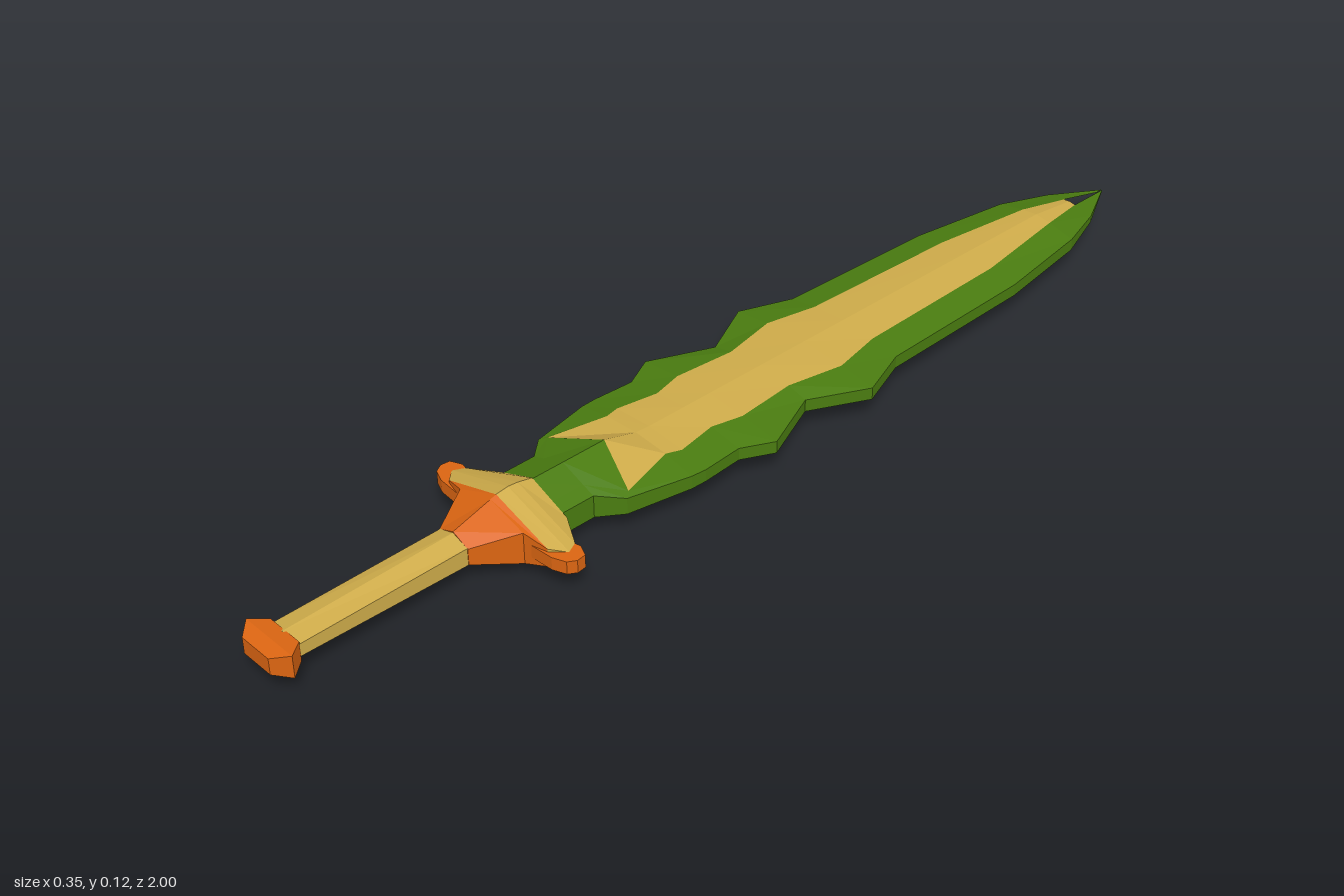
import * as THREE from 'three';

const CY = 0.063; // height of the sword's long axis

const flat = (name, color) => {
  const m = new THREE.MeshStandardMaterial({ color, flatShading: true });
  m.name = name;
  return m;
};

// Skin a list of closed rings (each counter-clockwise seen from +z, z rising).
// paint(row, column) gives the material index, or -1 for an opening.
function loft(name, rings, mats, paint, capFirst = -1, capLast = -1) {
  const faces = mats.map(() => []);
  const tri = (k, ...pts) => k >= 0 && pts.forEach(p => faces[k].push(p[0], p[1] + CY, p[2]));
  const n = rings[0].length;
  for (let i = 0; i < rings.length - 1; i++) {
    for (let j = 0; j < n; j++) {
      const a = rings[i][j], b = rings[i][(j + 1) % n];
      const c = rings[i + 1][(j + 1) % n], d = rings[i + 1][j];
      const k = paint(i, j);
      tri(k, a, b, c);
      tri(k, a, c, d);
    }
  }
  const first = rings[0], last = rings[rings.length - 1];
  for (let j = 1; j < n - 1; j++) {
    tri(capFirst, first[0], first[j + 1], first[j]);
    tri(capLast, last[0], last[j], last[j + 1]);
  }
  const geo = new THREE.BufferGeometry();
  geo.setAttribute('position', new THREE.Float32BufferAttribute(faces.flat(), 3));
  let start = 0;
  faces.forEach((f, k) => {
    if (f.length) geo.addGroup(start, f.length / 3, k);
    start += f.length / 3;
  });
  geo.computeVertexNormals();
  const mesh = new THREE.Mesh(geo, mats);
  mesh.name = name;
  return mesh;
}

// Hexagon with upright sides: half width w, side half height e, ridge half height h
const hex = ([z, w, e, h]) => [
  [w, -e, z], [w, e, z], [0, h, z], [-w, e, z], [-w, -e, z], [0, -h, z],
];
const box = ([z, w, h]) => [[w, -h, z], [w, h, z], [-w, h, z], [-w, -h, z]];

// Blade ring: outer edge, border of the inlay, and central ridge
const bladeRing = ([z, w, e, b, hb, hc, zb = z, zc = z]) => [
  [w, -e, z], [w, e, z], [b, hb, zb], [0, hc, zc], [-b, hb, zb],
  [-w, e, z], [-w, -e, z], [-b, -hb, zb], [0, -hc, zc], [b, -hb, zb],
];

export function createModel() {
  const group = new THREE.Group();
  const green = flat('green', 0x4a7c10);
  const gold = flat('gold', 0xcfac4a);
  const orange = flat('orange', 0xdb6512);
  const dark = flat('dark', 0x0c0c14);

  // Wavy blade: z, edge width, edge height, inlay width, inlay height, ridge height
  const bladeRows = [
    [-1.0, 0.001, 0.001, 0.0005, 0.001, 0.001, -0.985, -0.985],
    [-0.9, 0.055, 0.007, 0.014, 0.014, 0.016],
    [-0.8, 0.09, 0.012, 0.034, 0.024, 0.028],
    [-0.6, 0.12, 0.012, 0.062, 0.022, 0.028],
    [-0.27, 0.13, 0.012, 0.072, 0.022, 0.028],
    [-0.17, 0.168, 0.012, 0.093, 0.022, 0.028],
    [-0.06, 0.113, 0.012, 0.072, 0.022, 0.028],
    [0.06, 0.165, 0.012, 0.082, 0.022, 0.028],
    [0.12, 0.135, 0.012, 0.068, 0.022, 0.028],
    [0.2, 0.14, 0.012, 0.082, 0.022, 0.028],
    [0.23, 0.138, 0.013, 0.074, 0.025, 0.03],
    [0.35, 0.112, 0.016, 0.102, 0.02, 0.05, 0.338, 0.3],
    [0.39, 0.075, 0.022, 0.05, 0.031, 0.05],
    [0.47, 0.075, 0.022, 0.05, 0.031, 0.05],
  ];
  group.add(loft('blade', bladeRows.map(bladeRing), [green, gold], (i, j) => {
    const inlay = j % 5 === 2 || j % 5 === 3;
    if (inlay && i === 0) return -1; // small slot behind the tip
    return inlay && i < 11 ? 1 : 0;
  }, -1, 0));

  // Guard: gold crown tapering into an orange collar, dark hollows at its sides
  const guardRows = [
    [0.455, 0.085, 0.018, 0.052],
    [0.485, 0.14, 0.012, 0.059],
    [0.505, 0.15, 0.012, 0.061],
    [0.53, 0.125, 0.018, 0.058],
    [0.542, 0.08, 0.031, 0.054],
    [0.62, 0.036, 0.016, 0.031],
  ];
  group.add(loft('guard', guardRows.map(hex), [gold, orange, dark],
    (i, j) => (i > 2 ? 1 : i === 0 && j % 3 === 0 ? 2 : 0), 0, 1));

  // Horns at both ends of the guard
  for (const s of [1, -1]) {
    const outline = [[0.07, 0.54], [0.14, 0.535], [0.165, 0.525], [0.174, 0.51],
      [0.172, 0.492], [0.15, 0.482], [0.07, 0.5]];
    const shape = new THREE.Shape(outline.map(([x, z]) => new THREE.Vector2(s * x, z)));
    const geo = new THREE.ExtrudeGeometry(shape, { depth: 0.025, bevelEnabled: false });
    geo.rotateX(Math.PI / 2).translate(0, CY + 0.0125, 0);
    const horn = new THREE.Mesh(geo, orange);
    horn.name = s > 0 ? 'leftHorn' : 'rightHorn';
    group.add(horn);
  }

  // Grip and flared pommel
  const gripRows = [[0.61, 0.035, 0.017, 0.029], [0.95, 0.035, 0.012, 0.02]];
  group.add(loft('grip', gripRows.map(hex), [gold], () => 0, 0, 0));
  const pommelRows = [[0.945, 0.037, 0.019], [0.974, 0.06, 0.022], [1.0, 0.034, 0.016]];
  group.add(loft('pommel', pommelRows.map(box), [orange], () => 0, 0, 0));

  return group;
}
